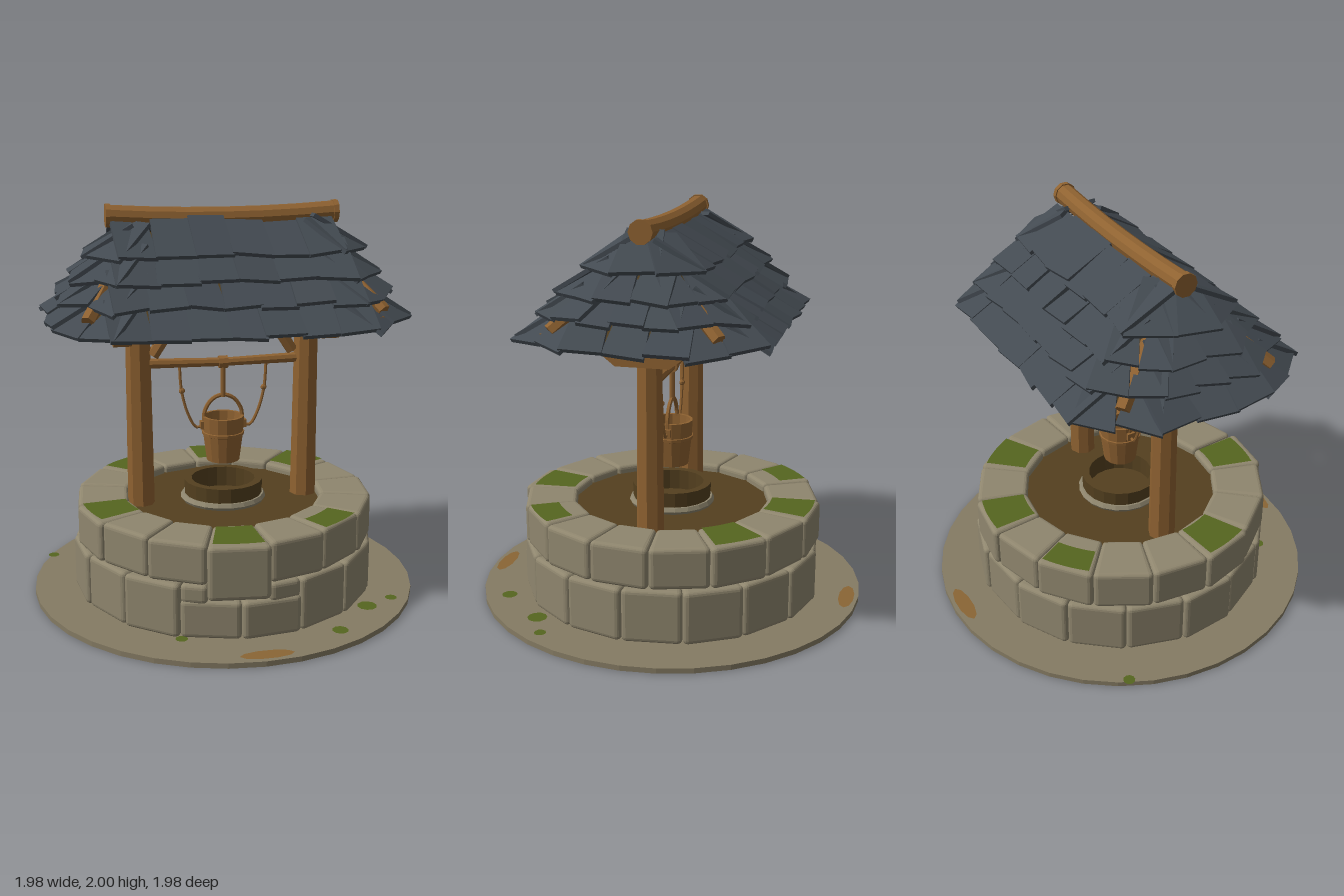
import * as THREE from 'three';
import { mergeGeometries } from 'three/addons/utils/BufferGeometryUtils.js';
import { RoundedBoxGeometry } from 'three/addons/geometries/RoundedBoxGeometry.js';

const material = (name, color, extra = {}) => {
  const m = new THREE.MeshStandardMaterial({ color, flatShading: true, ...extra });
  m.name = name;
  return m;
};

export function createModel() {
  const wood = material('wood', 0x8f6231);
  const darkWood = material('dark wood', 0x54401f, { side: THREE.DoubleSide });
  const stone = material('stone', 0x8f866e);
  const ground = material('ground', 0x857b63);
  const slate = material('slate', 0x434a51);
  const moss = material('moss', 0x55661f, { side: THREE.DoubleSide });
  const earth = material('earth', 0x8a6535, { side: THREE.DoubleSide });

  const model = new THREE.Group();
  model.name = 'wishingWell';
  let seed = 11;
  const rand = (a = -1, b = 1) => {
    seed = (seed * 16807) % 2147483647;
    return a + (b - a) * seed / 2147483647;
  };
  const V = (x, y, z) => new THREE.Vector3(x, y, z);
  const add = (name, geo, mat, x = 0, y = 0, z = 0) => {
    const mesh = new THREE.Mesh(geo, mat);
    mesh.name = name;
    mesh.position.set(x, y, z);
    model.add(mesh);
    return mesh;
  };
  // Round timber between two points
  const pole = (name, a, b, r0, r1 = r0, sides = 8, mat = wood) => {
    const mesh = add(name, new THREE.CylinderGeometry(r1, r0, a.distanceTo(b), sides), mat);
    mesh.position.copy(a).add(b).multiplyScalar(0.5);
    mesh.quaternion.setFromUnitVectors(V(0, 1, 0), b.clone().sub(a).normalize());
    return mesh;
  };
  const tube = (name, points, r, mat) =>
    add(name, new THREE.TubeGeometry(new THREE.CatmullRomCurve3(points), 20, r, 6), mat);

  // Ground disc with moss and earth patches
  add('groundDisc', new THREE.CylinderGeometry(0.99, 0.99, 0.026, 36), ground, 0, 0.013);
  const patch = (name, x, y, z, rx, rz, mat) => {
    const mesh = add(name, new THREE.CircleGeometry(1, 10).rotateX(-Math.PI / 2), mat, x, y, z);
    mesh.scale.set(rx, 1, rz);
  };
  for (const [x, z, r] of [[0.63, 0.53, 0.05], [0.78, 0.46, 0.03], [-0.34, 0.7, 0.03],
    [-0.87, -0.44, 0.03], [0.42, 0.76, 0.04]]) patch('groundMoss', x, 0.029, z, r, r, moss);
  for (const s of [-1, 1]) {
    patch('earthPatch', 0.02, 0.029, s * 0.93, 0.13, 0.04, earth);
    patch('undersideMoss', 0, -0.001, s * 0.5, 0.14, 0.06, moss);
    for (const x of [-0.38, 0.38]) patch('undersideMoss', x, -0.001, s * 0.4, 0.1, 0.05, moss);
    for (const x of [-0.7, 0.7]) patch('undersideMoss', x, -0.001, s * 0.3, 0.04, 0.03, moss);
  }

  // Rounded block bent around the well axis; angle 0 faces the front
  const block = (a0, a1, r0, r1, y0, y1) => {
    const rm = (r0 + r1) / 2, mid = (a0 + a1) / 2;
    const geo = new RoundedBoxGeometry(rm * (a1 - a0), y1 - y0, r1 - r0, 2, 0.022);
    const p = geo.attributes.position;
    for (let i = 0; i < p.count; i++) {
      const a = mid + p.getX(i) / rm, r = rm + p.getZ(i);
      p.setXYZ(i, Math.sin(a) * r, p.getY(i) + (y0 + y1) / 2, Math.cos(a) * r);
    }
    geo.computeVertexNormals();
    return geo;
  };
  const step = Math.PI / 8, start = -0.295;
  const upper = [], lower = [];
  for (let k = 0; k < 16; k++) {
    const a = start + k * step, r = 0.765 + rand() * 0.008;
    upper.push(k === 0 ? block(a, a + step, 0.5, 0.79, 0.23, 0.5)
      : block(a, a + step, 0.5, r, 0.3, 0.508 + rand() * 0.004));
    const b = a - step * 0.45, low = k < 2;
    lower.push(block(b, b + step, 0.5, r + 0.008, 0.025, low ? 0.215 : 0.295));
  }
  lower.push(block(start + step, start + step * 1.55, 0.5, 0.76, 0.2, 0.295));
  lower.push(block(start - step * 0.45, start, 0.5, 0.76, 0.2, 0.295));
  add('upperStones', mergeGeometries(upper), stone);
  add('lowerStones', mergeGeometries(lower), stone);
  for (const k of [0, 2, 6, 8, 10, 13]) {
    const cap = new THREE.RingGeometry(k === 2 || k === 10 ? 0.6 : 0.525, 0.745, 6, 1,
      start + k * step + 0.03 - Math.PI / 2, step - 0.06);
    add('stoneMoss', cap.rotateX(-Math.PI / 2), moss, 0, k ? 0.515 : 0.504);
  }

  // Well floor and small central curb
  add('wellFloor', new THREE.CylinderGeometry(0.54, 0.54, 0.03, 24), darkWood, 0, 0.45);
  const curb = [[0.165, 0.47], [0.2, 0.47], [0.205, 0.575], [0.165, 0.575], [0.165, 0.47]];
  add('centreCurb', new THREE.LatheGeometry(curb.map(c => new THREE.Vector2(...c)), 20), darkWood);
  add('curbFooting', new THREE.TorusGeometry(0.2, 0.022, 6, 20).rotateX(Math.PI / 2), stone, 0, 0.48);

  // Posts, braces, brackets and roof frame
  for (const s of [-1, 1]) {
    pole('post', V(s * 0.43, 0.45, 0), V(s * 0.435, 1.6, 0), 0.069, 0.06);
    pole('brace', V(s * 0.36, 1.24, 0), V(s * 0.19, 1.5, 0), 0.032, 0.032, 6);
    const shape = new THREE.Shape([[-0.13, 1.32], [0.13, 1.32], [0.27, 1.43], [0.27, 1.48],
      [-0.27, 1.48], [-0.27, 1.43]].map(c => new THREE.Vector2(...c)));
    const bracket = new THREE.ExtrudeGeometry(shape, { depth: 0.09, bevelEnabled: false });
    add('bracket', bracket.translate(0, 0, -0.045).rotateY(Math.PI / 2), wood, s * 0.525);
    add('endBeam', new THREE.BoxGeometry(0.08, 0.05, 0.86), wood, s * 0.66, 1.455);
    add('sideBeam', new THREE.BoxGeometry(1.36, 0.05, 0.08), wood, 0, 1.455, s * 0.41);
    for (const t of [-1, 1])
      pole('hipRafter', V(s * 0.46, 1.84, t * 0.03), V(s * 0.71, 1.5, t * 0.39), 0.035, 0.035, 6);
  }

  // Roof boarding: an eight-sided outline lofted up to the ridge
  const outline = ([y, hx, fx, hz, ez]) => [[-fx, hz], [fx, hz], [hx, ez], [hx, -ez],
    [fx, -hz], [-fx, -hz], [-hx, -ez], [-hx, ez]].map(([x, z]) => V(x, y, z));
  const low = outline([1.46, 0.72, 0.6, 0.49, 0.3]), top = outline([1.86, 0.46, 0.45, 0.02, 0.01]);
  const tris = [];
  low.forEach((a, i) => {
    const j = (i + 1) % 8;
    tris.push(a, low[j], top[j], a, top[j], top[i]);
  });
  const boards = new THREE.BufferGeometry().setFromPoints(tris);
  boards.computeVertexNormals();
  add('roofBoards', boards, darkWood);

  // Slate shingles in four overlapping rows; row = height, end x, front x, front z, end z
  const shingles = [];
  const rows = [[1.445, 0.88, 0.62, 0.6, 0.29], [1.56, 0.82, 0.6, 0.5, 0.23],
    [1.66, 0.76, 0.57, 0.4, 0.17], [1.765, 0.69, 0.55, 0.29, 0.11]];
  for (const row of rows) {
    const ring = outline(row);
    ring.forEach((a, i) => {
      const b = ring[(i + 1) % 8], d = b.clone().sub(a), len = d.length();
      const n = Math.max(1, Math.round(len / 0.18));
      const taper = i % 4 === 0 ? 0.95 : i % 2 ? 0.6 : 0.8;
      for (let k = 0; k < n; k++) {
        const tip = a.clone().addScaledVector(d, (k + 0.5) / n);
        const L = 0.285 + rand() * 0.02, w = len / n * rand(1, 1.12);
        const geo = new THREE.BoxGeometry(w, 0.02, L).translate(0, 0, -L / 2);
        const p = geo.attributes.position, skew = rand() * 0.018;
        for (let v = 0; v < p.count; v++) {
          if (p.getZ(v) < -0.1) p.setX(v, p.getX(v) * taper);
          else p.setZ(v, p.getZ(v) + Math.sign(p.getX(v)) * skew);
        }
        geo.rotateZ(rand() * 0.06).rotateX(0.53 + rand() * 0.05);
        geo.rotateY(Math.atan2(-d.z, d.x) + rand() * 0.06);
        shingles.push(geo.translate(tip.x, tip.y + rand() * 0.012, tip.z));
      }
    });
  }
  add('shingles', mergeGeometries(shingles), slate);

  // Gently sagging ridge log with end collars
  const ridge = new THREE.CylinderGeometry(0.052, 0.052, 1.14, 10, 6).rotateZ(Math.PI / 2);
  const rp = ridge.attributes.position;
  for (let i = 0; i < rp.count; i++)
    rp.setY(i, rp.getY(i) - 0.02 * (1 - (rp.getX(i) / 0.57) ** 2));
  add('ridgeLog', ridge, wood, 0, 1.943);
  for (const s of [-1, 1])
    pole('ridgeCollar', V(s * 0.555, 1.942, 0), V(s * 0.58, 1.942, 0), 0.058, 0.058, 10);

  // Crossbar, ropes and hanging bucket
  for (const s of [-1, 1]) {
    pole('crossbar', V(s * 0.39, 1.2, 0), V(0, 1.192, 0), 0.026, 0.022);
    tube('sideRope', [V(s * 0.225, 1.19, 0), V(s * 0.215, 1.05, 0), V(s * 0.18, 0.92, 0),
      V(s * 0.14, 0.855, 0), V(s * 0.1, 0.86, 0)], 0.008, wood);
    add('ropeKnot', new THREE.SphereGeometry(0.016, 6, 5), wood, s * 0.213, 1.05);
    add('bucketLug', new THREE.BoxGeometry(0.03, 0.04, 0.04), wood, s * 0.105, 0.865);
  }
  add('ropeCollar', new THREE.CylinderGeometry(0.033, 0.033, 0.045, 8).rotateZ(Math.PI / 2), wood, 0, 1.192);
  pole('centreRope', V(0, 1.01, 0), V(0, 1.19, 0), 0.014);
  tube('bucketHandle', [V(-0.1, 0.87, 0), V(-0.095, 0.94, 0), V(-0.055, 1, 0), V(0, 1.02, 0),
    V(0.055, 1, 0), V(0.095, 0.94, 0), V(0.1, 0.87, 0)], 0.011, wood);
  const bucket = [[0, 0.675], [0.085, 0.675], [0.102, 0.81], [0.109, 0.813], [0.11, 0.828],
    [0.104, 0.83], [0.108, 0.91], [0.093, 0.91], [0.08, 0.72], [0, 0.72]];
  add('bucket', new THREE.LatheGeometry(bucket.map(c => new THREE.Vector2(...c)), 14), wood);

  return model;
}
